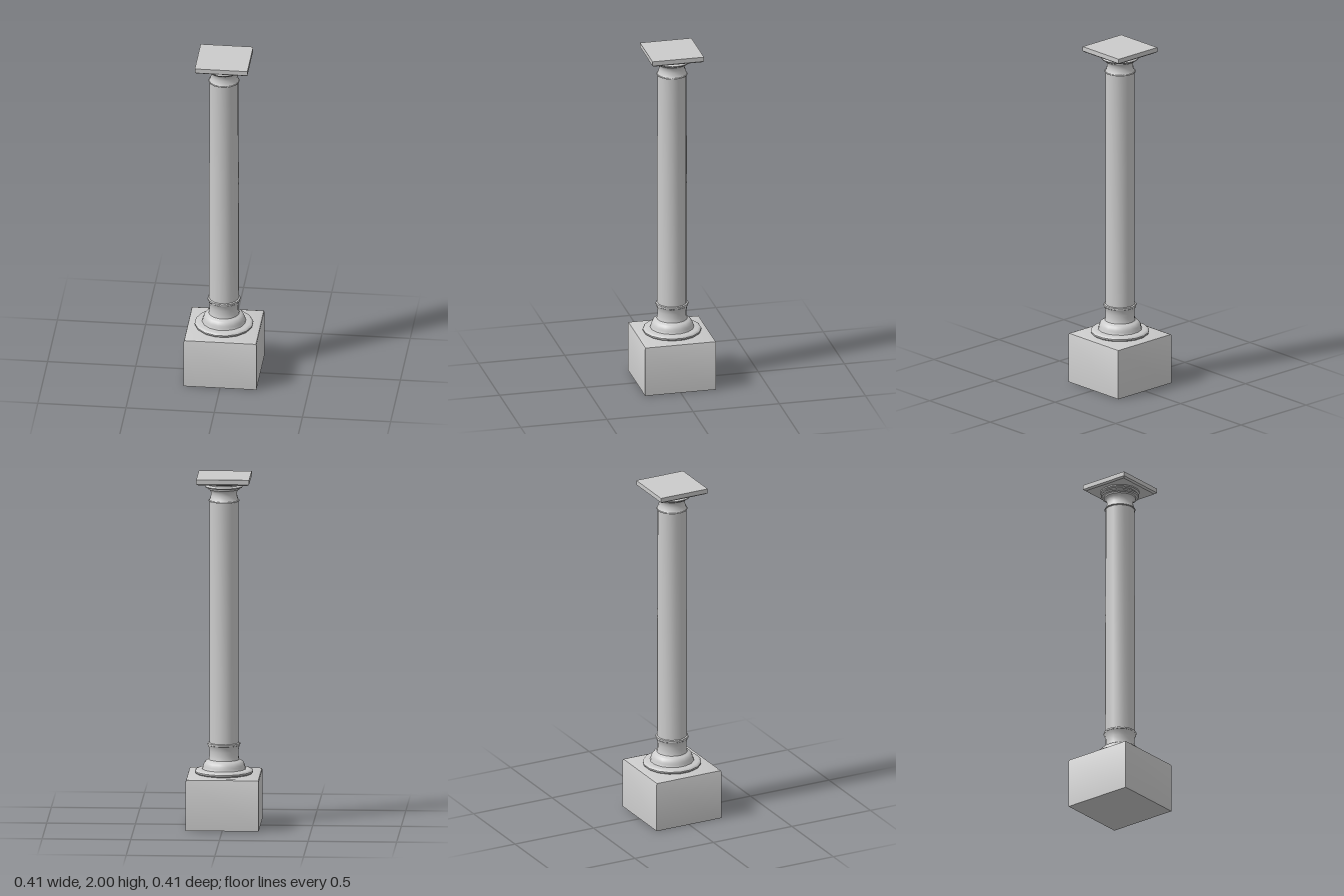
import * as THREE from 'three';
import { toCreasedNormals } from 'three/addons/utils/BufferGeometryUtils.js';

const material = new THREE.MeshStandardMaterial({ color: 0xcccccc });

// Turns a profile of [half width, height] points, flat sides facing the axes
function turned(name, sides, profile, crease = 0.7) {
  const toCorner = 1 / Math.cos(Math.PI / sides);
  const points = profile.map(([r, y]) => new THREE.Vector2(r * toCorner, y));
  const lathe = new THREE.LatheGeometry(points, sides, Math.PI / sides);
  const mesh = new THREE.Mesh(toCreasedNormals(lathe, crease), material);
  mesh.name = name;
  return mesh;
}

// Points along an elliptical arc, for rounded mouldings
function arc(cx, cy, rx, ry, from, to, steps = 5) {
  return Array.from({ length: steps + 1 }, (_, i) => {
    const a = THREE.MathUtils.degToRad(from + ((to - from) * i) / steps);
    return [cx + rx * Math.cos(a), cy + ry * Math.sin(a)];
  });
}

export function createModel() {
  const column = new THREE.Group();
  column.name = 'column';

  column.add(
    // Square block with a softened top edge
    turned('plinth', 4, [
      [0, 0], [0.206, 0], [0.206, 0.281], [0.203, 0.289], [0.188, 0.295], [0, 0.297],
    ]),

    // Stepped, swelling foot
    turned('base', 16, [
      [0, 0.295], [0.148, 0.295],
      ...arc(0.148, 0.308, 0.015, 0.013, -60, 90, 4),
      [0.122, 0.323], [0.119, 0.33],
      ...arc(0.082, 0.33, 0.036, 0.044, 10, 80),
      [0.084, 0.378], [0, 0.378],
    ]),

    // Hollow neck below the shaft
    turned('lowerNeck', 16, [
      [0.086, 0.374], [0.084, 0.381], [0.081, 0.4], [0.081, 0.425], [0.084, 0.445], [0.09, 0.459],
    ]),
    turned('lowerRing', 16, [
      [0.082, 0.457], ...arc(0.086, 0.465, 0.006, 0.007, -90, 90, 4), [0.081, 0.473],
    ]),

    turned('shaft', 16, [[0.082, 0.47], [0.082, 1.2], [0.081, 1.858]]),

    // Ring, hollow neck and stepped mouldings under the slab
    turned('upperRing', 16, [
      [0.079, 1.853], ...arc(0.081, 1.857, 0.006, 0.004, -90, 90, 4), [0.078, 1.861],
    ]),
    turned('capital', 16, [
      [0.083, 1.86], [0.077, 1.872], [0.073, 1.89], [0.073, 1.908], [0.079, 1.918], [0.088, 1.924],
      [0.09, 1.932], [0.102, 1.934], [0.106, 1.941], [0.102, 1.946],
      [0.093, 1.949], [0.095, 1.956], [0.108, 1.959], [0.109, 1.966], [0.104, 1.972], [0, 1.972],
    ]),

    // Square top slab
    turned('abacus', 4, [
      [0, 1.966], [0.138, 1.966], [0.149, 1.974], [0.149, 2], [0, 2],
    ], 0.3),
  );

  return column;
}
